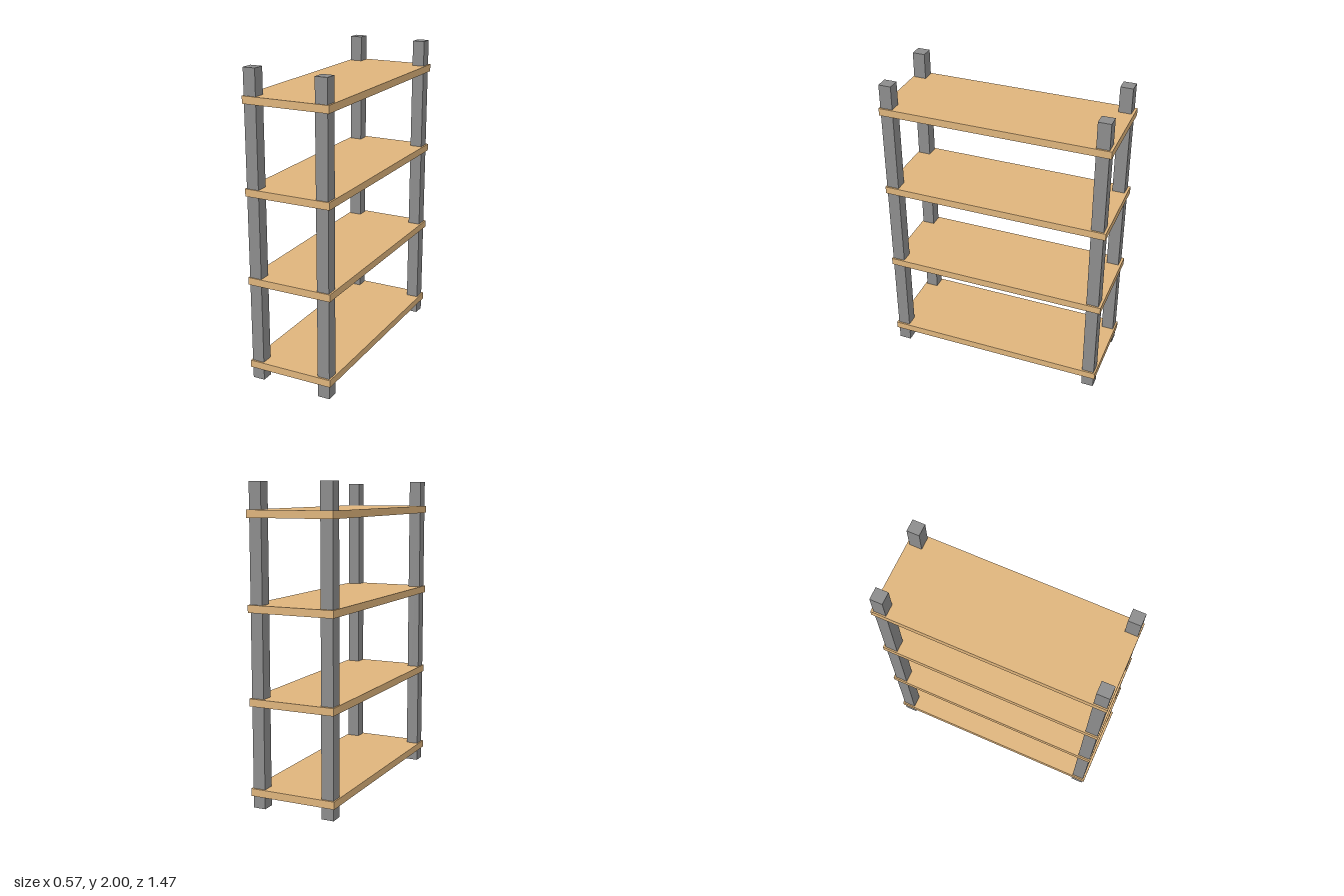
import * as THREE from 'three';

const POST = 0.08, POST_HEIGHT = 1.987;
const SHELF = { width: 0.568, thickness: 0.047, depth: 1.462 };

export function createModel() {
  const model = new THREE.Group();
  model.name = 'shelvingUnit';
  const metal = new THREE.MeshStandardMaterial({ color: 0x8c8c8c, flatShading: true });
  const wood = new THREE.MeshStandardMaterial({ color: 0xdeb47c, flatShading: true });

  const addBox = (name, size, position, material) => {
    const mesh = new THREE.Mesh(new THREE.BoxGeometry(...size), material);
    mesh.position.set(...position);
    mesh.name = name;
    model.add(mesh);
  };

  // Corner posts; the front left one sits slightly lower
  for (const [side, x] of [['Left', 0.233], ['Right', -0.235]]) {
    for (const [end, z] of [['front', 0.682], ['back', -0.677]]) {
      const base = side === 'Left' && end === 'front' ? 0 : 0.013;
      addBox(`${end}${side}Post`, [POST, POST_HEIGHT, POST], [x, base + POST_HEIGHT / 2, z], metal);
    }
  }

  // Shelves; the lowest is shifted a little to the front
  [0.113, 0.679, 1.25, 1.811].forEach((y, i) => {
    addBox(`shelf${i + 1}`, [SHELF.width, SHELF.thickness, SHELF.depth], [0, y, i === 0 ? 0.003 : -0.002], wood);
  });

  return model;
}
